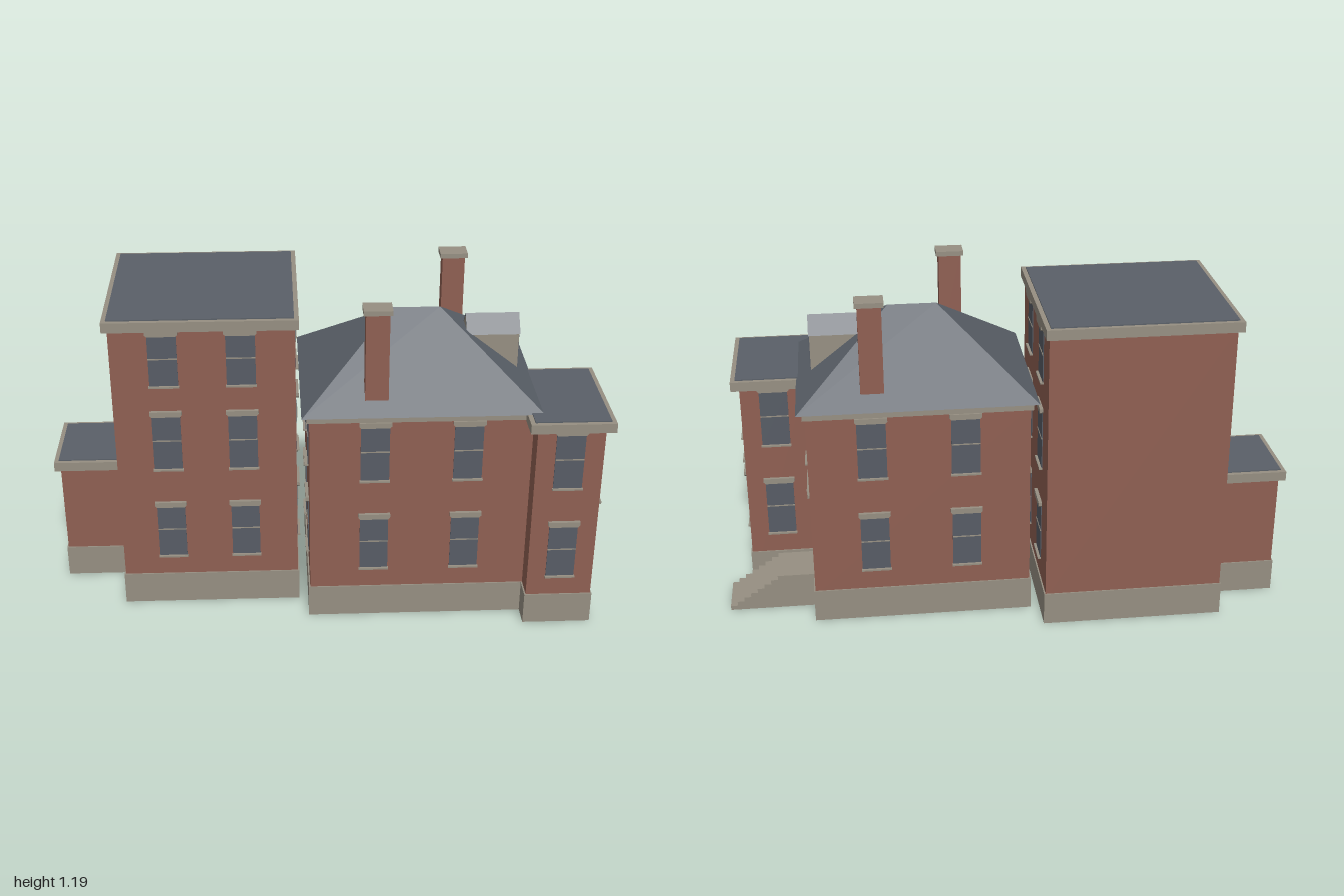
import * as THREE from 'three';

const mat = (name, color) => {
  const m = new THREE.MeshStandardMaterial({ color });
  m.name = name;
  return m;
};

export function createModel() {
  const brick = mat('brick', 0x8f5f52);
  const stone = mat('stone trim', 0x968f82);
  const slate = mat('slate', 0x5a6068);
  const glass = mat('window glass', 0x575c65);
  const model = new THREE.Group();
  model.name = 'house';

  const add = (parent, name, geometry, material) => {
    const mesh = new THREE.Mesh(geometry, material);
    mesh.name = name;
    parent.add(mesh);
    return mesh;
  };
  // Box given by its min and max on each axis
  const box = (parent, name, material, x0, x1, y0, y1, z0, z1) => {
    const mesh = add(parent, name, new THREE.BoxGeometry(x1 - x0, y1 - y0, z1 - z0), material);
    mesh.position.set((x0 + x1) / 2, (y0 + y1) / 2, (z0 + z1) / 2);
    return mesh;
  };
  const extrude = (points, depth) => new THREE.ExtrudeGeometry(
    new THREE.Shape(points.map(p => new THREE.Vector2(...p))), { depth, bevelEnabled: false });

  // Brick block on a stone base; wallY is where the brick begins
  const block = (name, x0, x1, z0, z1, height, wallY) => {
    const g = new THREE.Group();
    g.name = name;
    model.add(g);
    const o = 0.005;
    box(g, 'walls', brick, x0, x1, wallY, height, z0, z1);
    box(g, 'foundation', stone, x0 - o, x1 + o, wallY ? 0 : 0.002, 0.12, z0 - o, z1 + o);
    return g;
  };
  // Stone cornice with an inset flat roof
  const flatRoof = (g, x0, x1, z0, z1, y, h) => {
    const i = 0.016;
    box(g, 'cornice', stone, x0, x1, y, y + h, z0, z1);
    box(g, 'flatRoof', slate, x0 + i, x1 - i, y + h - 0.01, y + h + 0.004, z0 + i, z1 - i);
  };

  const tower = block('tower', -0.75, -0.12, -0.4, 0.2, 1.1, 0.1);
  flatRoof(tower, -0.768, -0.107, -0.42, 0.218, 1.092, 0.036);
  const wing = block('sideWing', -0.98, -0.75, -0.265, 0.01, 0.47, 0);
  flatRoof(wing, -1, -0.75, -0.285, 0.03, 0.46, 0.034);
  const house = block('mainHouse', -0.078, 0.69, -0.285, 0.31, 0.8, 0.1);
  box(house, 'cornice', stone, -0.088, 0.7, 0.79, 0.819, -0.295, 0.32);
  const bay = block('cornerBay', 0.69, 0.922, 0.02, 0.39, 0.8, 0);
  flatRoof(bay, 0.66, 0.95, -0.012, 0.42, 0.787, 0.034);

  // String course along the entrance side
  box(bay, 'stringCourse', stone, 0.92, 0.929, 0.492, 0.502, 0.02, 0.39);
  box(house, 'stringCourse', stone, 0.688, 0.697, 0.492, 0.502, -0.285, 0.02);

  // Hip roof: four eave corners and two ridge ends
  const A = [-0.105, 0.82, -0.32], B = [0.72, 0.82, -0.32];
  const C = [0.72, 0.82, 0.345], D = [-0.105, 0.82, 0.345];
  const R = [0.22, 1.08, 0.012], S = [0.39, 1.08, 0.012];
  const faces = [D, C, S, D, S, R, C, B, S, B, A, R, B, R, S, A, D, R, A, B, C, A, C, D];
  const hip = new THREE.BufferGeometry();
  hip.setAttribute('position', new THREE.Float32BufferAttribute(faces.flat(), 3));
  hip.computeVertexNormals();
  add(house, 'hipRoof', hip, slate);

  // Lintel with chamfered lower corners
  const lintel = (g, w, y0, y1) => {
    const a = w / 2, c = 0.007;
    const mesh = add(g, 'lintel', extrude(
      [[-a + c, y0], [a - c, y0], [a, y0 + c], [a, y1], [-a, y1], [-a, y0 + c]], 0.014), stone);
    mesh.position.z = -0.002;
  };
  // Opening group facing out of a wall
  const onWall = (name, x, z, turn) => {
    const g = new THREE.Group();
    g.name = name;
    g.position.set(x, 0, z);
    g.rotation.y = turn;
    model.add(g);
    return g;
  };
  const floors = [[0.2, 0.425], [0.56, 0.788], [0.885, 1.092]];
  const sash = (x, z, turn, levels) => levels.forEach(level => {
    const [y0, y1] = floors[level];
    const mid = (y0 + y1 - 0.005) / 2;
    const g = onWall('window', x, z, turn);
    box(g, 'pane', glass, -0.05, 0.05, y0, y1 - 0.018, -0.002, 0.003);
    box(g, 'meetingRail', stone, -0.05, 0.05, mid - 0.002, mid + 0.002, 0, 0.005);
    box(g, 'sill', stone, -0.053, 0.053, y0 - 0.006, y0, -0.002, 0.012);
    lintel(g, 0.112, y1 - 0.02, y1);
  });
  const Q = Math.PI / 2;
  for (const x of [-0.57, -0.305]) sash(x, 0.2, 0, [0, 1, 2]);
  for (const z of [0.028, -0.23]) sash(-0.12, z, Q, [0, 1, 2]);
  for (const x of [0.148, 0.47]) {
    sash(x, 0.31, 0, [0, 1]);
    sash(x, -0.285, 2 * Q, [0, 1]);
  }
  for (const z of [-0.12, 0.14]) sash(-0.078, z, -Q, [0, 1]);
  sash(0.805, 0.39, 0, [0, 1]);
  sash(0.805, 0.02, 2 * Q, [0, 1]);
  for (const z of [0.272, 0.134]) sash(0.922, z, Q, [0, 1]);
  sash(0.69, -0.1, Q, [1]);

  // Entrance transom and its lintel
  const entrance = onWall('entrance', 0.69, -0.102, Q);
  box(entrance, 'transom', glass, -0.055, 0.055, 0.39, 0.445, -0.002, 0.003);
  lintel(entrance, 0.145, 0.442, 0.463);

  // Entrance steps
  for (let i = 0; i < 8; i++) {
    box(model, 'step', stone, 0.69, 1 - i * 0.025, i * 0.0163, (i + 1) * 0.0163, -0.185, -0.02);
  }

  // Chimneys
  for (const [x, z] of [[0.152, 0.265], [0.46, -0.235]]) {
    const g = new THREE.Group();
    g.name = 'chimney';
    model.add(g);
    box(g, 'stack', brick, x - 0.04, x + 0.04, 0.83, 1.18, z - 0.028, z + 0.028);
    box(g, 'cap', stone, x - 0.049, x + 0.049, 1.175, 1.192, z - 0.037, z + 0.037);
  }

  // Dormer on the entrance side, built facing +z and turned to +x
  const dormer = onWall('dormer', 0, 0.015, Q);
  const body = add(dormer, 'dormerWalls', extrude(
    [[-0.045, 0.86], [0.045, 0.86], [0.045, 1], [0, 1.048], [-0.045, 1]], 0.185), stone);
  body.position.z = 0.48;
  const cover = add(dormer, 'dormerRoof', extrude(
    [[-0.055, 0.995], [-0.046, 0.995], [0, 1.046], [0.046, 0.995], [0.055, 0.995], [0, 1.055]], 0.188), slate);
  cover.position.z = 0.48;
  box(dormer, 'dormerPane', glass, -0.032, 0.032, 0.866, 0.985, 0.66, 0.668);

  return model;
}
